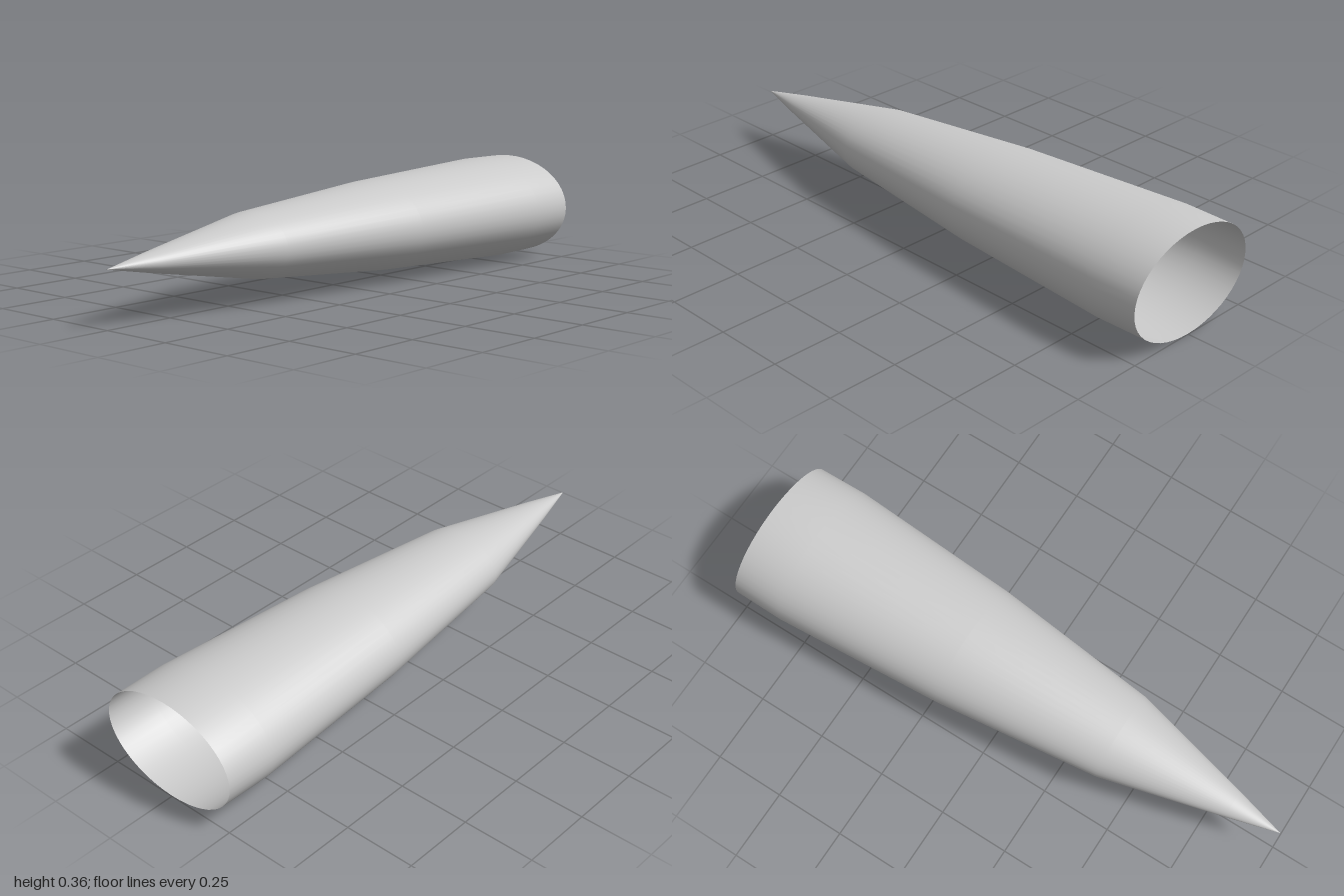
import * as THREE from 'three';

export function createModel() {
  const group = new THREE.Group();
  group.name = 'noseCone';

  // Profile from the open rear rim to the pointed tip: [radius, z]
  const profile = [
    [0.265, -1], [0.268, -0.82], [0.228, -0.2],
    [0.16, 0.39], [0.05, 0.82], [0, 1],
  ].map(([r, z]) => new THREE.Vector2(r, z));

  // Spin it, lay it along z and flatten it to an oval section
  const flatten = 0.68;
  const geometry = new THREE.LatheGeometry(profile, 48);
  geometry.rotateX(Math.PI / 2);
  geometry.scale(1, flatten, 1);
  geometry.translate(0, 0.268 * flatten, 0);

  // Thin open shell, visible from inside
  const shell = new THREE.Mesh(
    geometry,
    new THREE.MeshStandardMaterial({ color: 0xcccccc, side: THREE.DoubleSide }),
  );
  shell.name = 'taperedShell';
  group.add(shell);
  return group;
}
